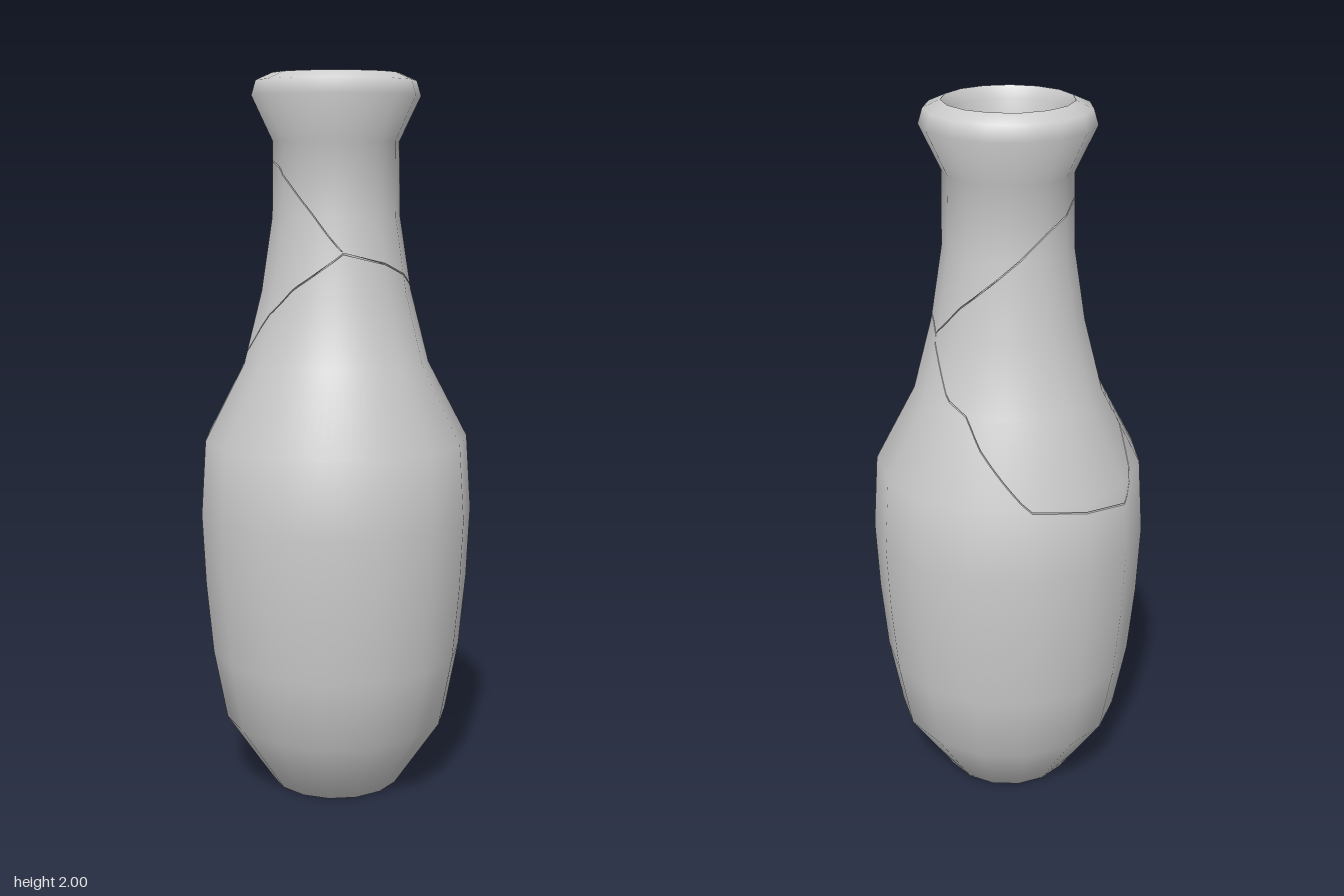
import * as THREE from 'three';

const SIDES = 15, FACET = 360 / SIDES, STEP = 4, START = -380, COLS = 360 / STEP;
const GAP = 0.002, CENTRE_X = -0.005;
const rad = THREE.MathUtils.degToRad;

// Profiles as [radius, height], from the centre of the base up to the lip
const OUTER = [[0, 0], [0.185, 0], [0.318, 0.2], [0.355, 0.4], [0.373, 0.6], [0.382, 0.8], [0.368, 1.01],
  [0.258, 1.22], [0.207, 1.42], [0.176, 1.62], [0.173, 1.82], [0.23, 1.94], [0.218, 1.98], [0.172, 2]];
const INNER = [[0, 0.03], [0.165, 0.03], [0.295, 0.21], [0.333, 0.4], [0.352, 0.6], [0.362, 0.8], [0.348, 1],
  [0.238, 1.21], [0.187, 1.41], [0.156, 1.61], [0.153, 1.82], [0.152, 1.97], [0.172, 2]];

// Cracks as [angle, height]; both share the stretch before angle -276
const SHARED = [[-380, 1.4], [-350, 1.45], [-313, 1.5], [-276, 1.53]];
const LOWER_CRACK = [...SHARED, [-234, 1.43], [-207, 1.33], [-185, 1.22], [-169, 1.13], [-146, 0.95],
  [-121, 0.98], [-95, 1.01], [-72, 1.15], [-61, 1.22], [-45, 1.26], [-20, 1.4]];
const UPPER_CRACK = [...SHARED, [-241, 1.66], [-210, 1.75], [-190, 1.77], [-165, 1.75], [-120, 1.69],
  [-70, 1.56], [-45, 1.49], [-20, 1.4]];

function heightAt(crack, angle) {
  let i = 1;
  while (i < crack.length - 1 && crack[i][0] < angle) i++;
  const [a, b] = [crack[i - 1], crack[i]];
  return THREE.MathUtils.mapLinear(angle, a[0], b[0], a[1], b[1]);
}

// Adds a smooth normal to every profile point
function withNormals(profile, sign) {
  const seg = profile.slice(1).map(([r, y], i) =>
    new THREE.Vector2(y - profile[i][1], profile[i][0] - r).normalize().multiplyScalar(sign));
  return profile.map(([r, y], i) => {
    const n = (seg[i - 1] || seg[i]).clone().add(seg[i] || seg[i - 1]).normalize();
    if (i === 0) n.set(0, -sign);
    return { r, y, n };
  });
}

// Profile point k, moved along the profile to stay between two heights
function clampedPoint(profile, k, lo, hi) {
  const p = profile[k], y = Math.max(lo, Math.min(hi, p.y));
  if (y === p.y) return p;
  let i = 1;
  while (i < profile.length - 1 && profile[i].y < y) i++;
  const a = profile[i - 1], b = profile[i], t = (y - a.y) / (b.y - a.y);
  return { r: a.r + (b.r - a.r) * t, y, n: a.n.clone().lerp(b.n, t).normalize() };
}

// Sweeps rows of points round the fifteen-sided body
function ringSurface(rows, pointAt, flip, flat) {
  const pos = [], nor = [], index = [];
  for (let c = 0; c <= COLS; c++) {
    const angle = START + c * STEP, a = rad(angle);
    const local = (((angle % FACET) + FACET) % FACET) - FACET / 2;
    const chord = Math.cos(rad(FACET / 2)) / Math.cos(rad(local));
    for (let k = 0; k < rows; k++) {
      const { r, y, n } = pointAt(angle, k);
      pos.push(CENTRE_X + r * chord * Math.cos(a), y, r * chord * Math.sin(a));
      nor.push(n.x * Math.cos(a), n.y, n.x * Math.sin(a));
    }
  }
  const p = i => new THREE.Vector3().fromArray(pos, i * 3);
  const tri = (i, j, k) => {
    const area = p(j).sub(p(i)).cross(p(k).sub(p(i))).length();
    if (area > 1e-9) index.push(...(flip ? [i, k, j] : [i, j, k]));
  };
  for (let c = 0; c < COLS; c++) {
    for (let k = 0; k < rows - 1; k++) {
      const i = c * rows + k, j = i + rows;
      tri(i, i + 1, j);
      tri(j, i + 1, j + 1);
    }
  }
  const g = new THREE.BufferGeometry();
  g.setAttribute('position', new THREE.Float32BufferAttribute(pos, 3));
  g.setAttribute('normal', new THREE.Float32BufferAttribute(nor, 3));
  g.setIndex(index);
  if (flat) g.computeVertexNormals();
  return g;
}

export function createModel() {
  const vase = new THREE.Group();
  vase.name = 'crackedVase';
  const material = new THREE.MeshStandardMaterial({ color: 0xcccccc });
  const outer = withNormals(OUTER, 1), inner = withNormals(INNER, -1);

  // One piece of the shell between two edges; a missing edge means it is uncut there
  function addPiece(name, lowEdge, highEdge) {
    const piece = new THREE.Group();
    piece.name = name;
    const limits = angle => {
      const lo = lowEdge ? heightAt(lowEdge, angle) + GAP : -1;
      const hi = highEdge ? heightAt(highEdge, angle) - GAP : 3;
      return [lo, Math.max(lo, hi)];
    };
    const add = (part, geometry) => {
      const mesh = new THREE.Mesh(geometry, material);
      mesh.name = part;
      piece.add(mesh);
    };
    const wall = (profile, flip) =>
      ringSurface(profile.length, (a, k) => clampedPoint(profile, k, ...limits(a)), flip);
    add('outerWall', wall(outer, false));
    add('innerWall', wall(inner, true));

    // Broken faces across the wall thickness
    const brokenFace = (side, flip) => ringSurface(2, (a, k) => {
      const y = limits(a)[side];
      return clampedPoint(k ? inner : outer, 0, y, y);
    }, flip, true);
    if (lowEdge) add('lowerBreak', brokenFace(0, true));
    if (highEdge) add('upperBreak', brokenFace(1, false));
    vase.add(piece);
  }

  addPiece('body', null, LOWER_CRACK);
  addPiece('shoulderShard', LOWER_CRACK, UPPER_CRACK);
  addPiece('neckAndLip', UPPER_CRACK, null);
  return vase;
}
